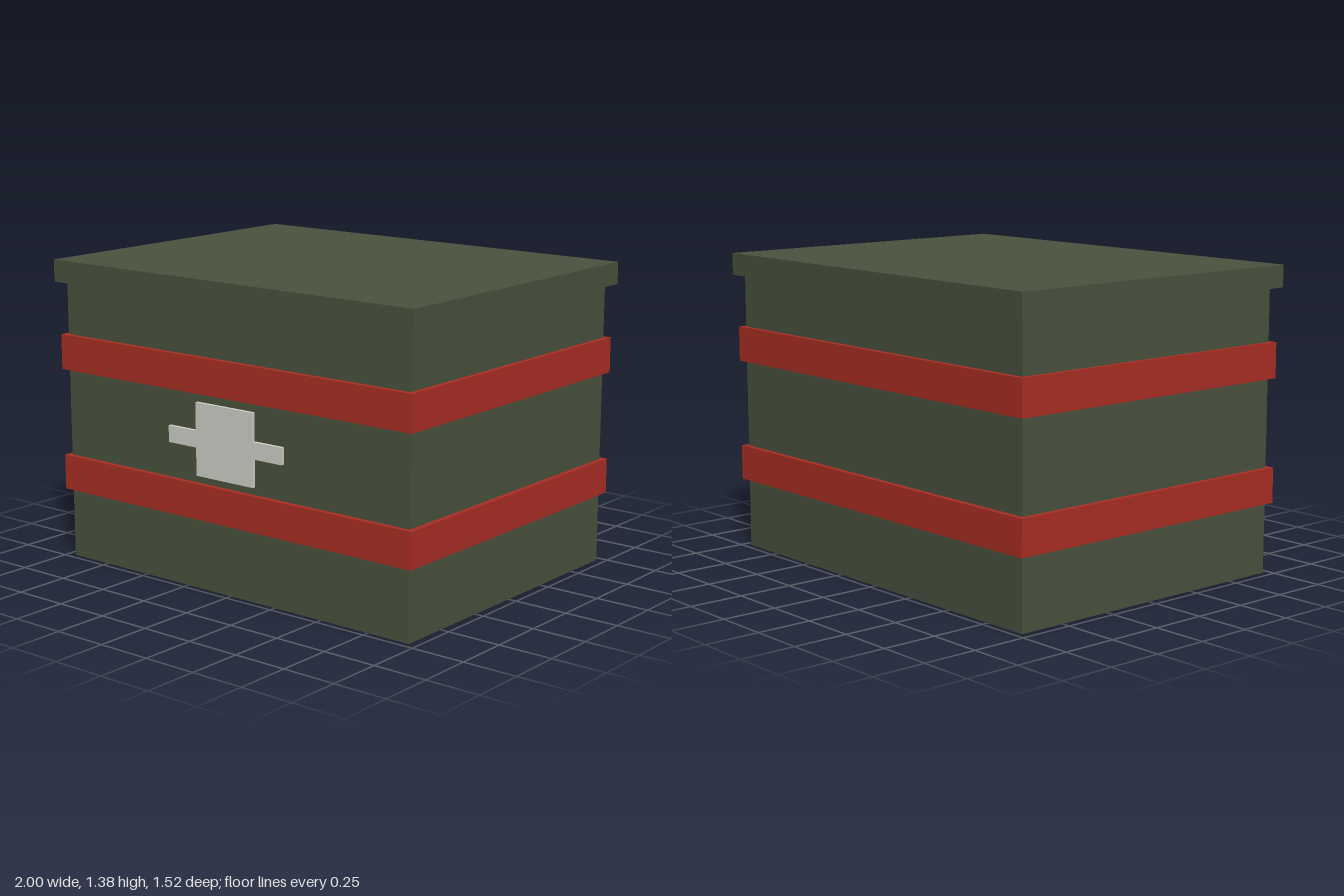
import * as THREE from 'three';

export function createModel() {
  const model = new THREE.Group();
  model.name = 'crate';

  const material = (name, color) => {
    const m = new THREE.MeshStandardMaterial({ color });
    m.name = name;
    return m;
  };
  const olive = material('olive green', 0x4a523d);
  const red = material('strap red', 0xaa2e24);
  const pale = material('pale grey', 0xd0d0c8);

  // Box centred on x and z, standing between two heights
  const addBox = (name, width, bottom, top, depth, mat) => {
    const mesh = new THREE.Mesh(new THREE.BoxGeometry(width, top - bottom, depth), mat);
    mesh.name = name;
    mesh.position.y = (bottom + top) / 2;
    model.add(mesh);
  };

  addBox('body', 1.92, 0, 1.28, 1.44, olive);
  addBox('lid', 2, 1.28, 1.38, 1.52, olive);

  // Straps running around the body
  addBox('lowerStrap', 1.968, 0.32, 0.48, 1.488, red);
  addBox('upperStrap', 1.968, 0.88, 1.04, 1.488, red);

  // Front plate: a square with a narrow arm on each side, held just off the body
  const shape = new THREE.Shape([
    [-0.16, 0.52], [0.16, 0.52], [0.16, 0.645], [0.32, 0.645], [0.32, 0.72], [0.16, 0.72],
    [0.16, 0.845], [-0.16, 0.845], [-0.16, 0.72], [-0.32, 0.72], [-0.32, 0.645], [-0.16, 0.645],
  ].map(([x, y]) => new THREE.Vector2(x, y)));
  const plate = new THREE.Mesh(
    new THREE.ExtrudeGeometry(shape, { depth: 0.016, bevelEnabled: false }), pale);
  plate.name = 'frontPlate';
  plate.position.z = 0.736;
  model.add(plate);

  return model;
}
